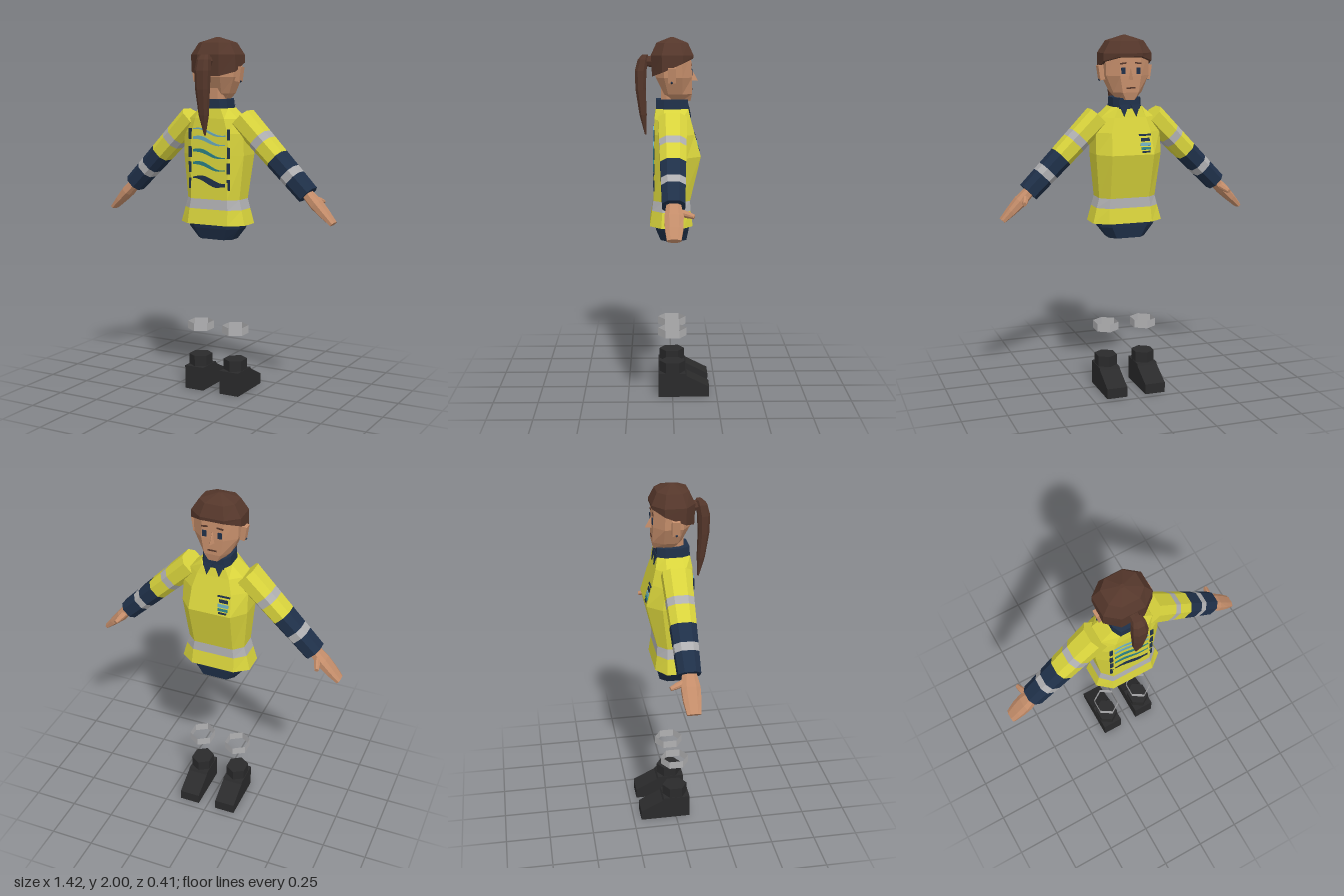
import * as THREE from 'three';

const mat = (name, color) => {
  const m = new THREE.MeshStandardMaterial({ color });
  m.name = name;
  return m;
};

// Octagonal cross-section: flat half width f, half width w, front zf, back zb
const octagon = (y, f, w, zf, zb) =>
  [[f, zb], [w, zb * 0.5], [w, zf * 0.5], [f, zf], [-f, zf], [-w, zf * 0.5], [-w, zb * 0.5], [-f, zb]]
    .map(([x, z]) => [x, y, z]);

// Faceted skin over a stack of rings, capped at both ends
function loft(rings) {
  const pos = [];
  const tri = (a, b, c) => pos.push(...a, ...b, ...c);
  const n = rings[0].length;
  for (let i = 0; i < rings.length - 1; i++) {
    for (let j = 0; j < n; j++) {
      const k = (j + 1) % n;
      const a = rings[i][j], b = rings[i][k], c = rings[i + 1][k], d = rings[i + 1][j];
      tri(a, b, c);
      tri(a, c, d);
    }
  }
  const lo = rings[0], hi = rings[rings.length - 1];
  for (let j = 1; j < n - 1; j++) {
    tri(lo[0], lo[j + 1], lo[j]);
    tri(hi[0], hi[j], hi[j + 1]);
  }
  const g = new THREE.BufferGeometry();
  g.setAttribute('position', new THREE.Float32BufferAttribute(pos, 3));
  g.computeVertexNormals();
  return g;
}

const stack = rows => loft(rows.map(r => octagon(...r)));

export function createModel() {
  const yellow = mat('safety yellow', 0xd9d43c);
  const navy = mat('navy', 0x1f3049);
  const silver = mat('reflective grey', 0xb0b0b2);
  const skin = mat('skin', 0xc48d6a);
  const hair = mat('brown hair', 0x55372b);
  const black = mat('boot black', 0x2a2a2b);
  const teal = mat('teal', 0x2b7f84);
  const sky = mat('light blue', 0x6aa9b9);
  silver.side = THREE.DoubleSide;

  const model = new THREE.Group();
  const add = (name, geo, material, parent = model) => {
    const m = new THREE.Mesh(geo, material);
    m.name = name;
    parent.add(m);
    return m;
  };
  const plate = (name, material, x, y, z, w, h, tilt = 0, roll = 0) => {
    const m = add(name, new THREE.BoxGeometry(w, h, 0.006), material);
    m.position.set(x, y, z);
    m.rotation.set(tilt, 0, roll);
    return m;
  };

  // Jacket body, reflective waistband and hem
  const hemTop = [1.06, 0.12, 0.178, -0.1, 0.112];
  const waist = [1.115, 0.113, 0.163, -0.097, 0.105];
  add('jacketHem', stack([[0.975, 0.125, 0.2, -0.112, 0.125], hemTop]), yellow);
  add('waistBand', stack([hemTop, waist]), silver);
  add('jacketBody', stack([
    waist,
    [1.36, 0.12, 0.188, -0.155, 0.1],
    [1.48, 0.112, 0.185, -0.122, 0.1],
    [1.56, 0.09, 0.15, -0.1, 0.098],
    [1.615, 0.065, 0.088, -0.088, 0.09],
  ]), yellow);
  add('hips', stack([
    [0.885, 0.07, 0.105, -0.078, 0.065],
    [0.95, 0.1, 0.155, -0.09, 0.09],
    [1.0, 0.11, 0.172, -0.095, 0.1],
  ]), navy);

  // Collar with two points at the front
  add('collar', stack([[1.605, 0.06, 0.082, -0.09, 0.09], [1.665, 0.055, 0.078, -0.086, 0.088]]), navy);
  for (const s of [-1, 1]) {
    const tip = new THREE.Shape([[0.005, 0.03], [0.06, 0.03], [0.035, -0.035]].map(p => new THREE.Vector2(s * p[0], p[1])));
    const m = add('collarPoint', new THREE.ExtrudeGeometry(tip, { depth: 0.006, bevelEnabled: false }), navy);
    m.position.set(0, 1.6, -0.098);
    m.rotation.x = 0.2;
  }

  // Neck, head and face
  add('neck', stack([[1.6, 0.03, 0.05, -0.05, 0.06], [1.74, 0.03, 0.05, -0.05, 0.06]]), skin);
  add('head', stack([
    [1.655, 0.025, 0.045, -0.1, 0.0],
    [1.695, 0.045, 0.082, -0.108, 0.045],
    [1.785, 0.06, 0.122, -0.108, 0.09],
    [1.92, 0.06, 0.125, -0.1, 0.1],
  ]), skin);
  add('nose', loft([
    [[0.016, 1.765, -0.1], [0, 1.765, -0.142], [-0.016, 1.765, -0.1]],
    [[0.006, 1.825, -0.1], [0, 1.825, -0.109], [-0.006, 1.825, -0.1]],
  ]), skin);
  plate('mouth', hair, 0, 1.72, -0.108, 0.05, 0.008);
  for (const s of [-1, 1]) {
    plate('eye', navy, s * 0.043, 1.812, -0.107, 0.022, 0.034);
    plate('eyebrow', hair, s * 0.043, 1.852, -0.105, 0.036, 0.008, 0, -s * 0.12);
    const ear = add('ear', new THREE.BoxGeometry(0.028, 0.08, 0.042), skin);
    ear.position.set(s * 0.135, 1.8, 0.002);
    ear.rotation.z = -s * 0.15;
    const stud = add('earring', new THREE.OctahedronGeometry(0.009), navy);
    stud.position.set(s * 0.142, 1.762, 0.004);
  }

  // Hair cap, its lower edge rising towards the forehead
  const hairEdge = octagon(0, 0.065, 0.138, -0.113, 0.11).map(([x, , z]) => [x, 1.838 - 0.43 * z, z]);
  add('hairCap', loft([
    hairEdge,
    octagon(1.905, 0.066, 0.137, -0.115, 0.115),
    octagon(1.97, 0.05, 0.097, -0.085, 0.085),
    octagon(2.0, 0.006, 0.01, -0.01, 0.01),
  ]), hair);

  // Ponytail: [y, centre z, half width, half depth]
  const tie = add('hairTie', new THREE.CylinderGeometry(0.026, 0.032, 0.06, 8).toNonIndexed(), hair);
  tie.geometry.computeVertexNormals();
  tie.rotation.x = Math.PI / 2;
  tie.position.set(0, 1.87, 0.13);
  add('ponytail', loft([
    [1.47, 0.147, 0.004, 0.004],
    [1.58, 0.16, 0.026, 0.02],
    [1.72, 0.173, 0.038, 0.028],
    [1.82, 0.172, 0.042, 0.032],
    [1.88, 0.16, 0.036, 0.028],
    [1.905, 0.148, 0.026, 0.016],
  ].map(([y, z, w, d]) => octagon(y, w * 0.5, w, -d, d).map(p => [p[0], p[1], p[2] + z]))), hair);

  // Arms: sleeve sections run along local y from the shoulder to the cuff
  const sleeveRing = t => {
    const w = 0.065 - 0.021 * t, d = 0.078 - 0.034 * t;
    return [t, w * 0.5, w, -d, d];
  };
  const sections = [
    ['upperSleeve', 0, 0.15, yellow], ['upperArmBand', 0.15, 0.195, silver],
    ['midSleeve', 0.195, 0.297, yellow], ['lowerSleeve', 0.297, 0.4, navy],
    ['forearmBand', 0.4, 0.445, silver], ['cuff', 0.445, 0.56, navy],
  ];
  for (const s of [-1, 1]) {
    const arm = new THREE.Group();
    arm.name = s > 0 ? 'leftArm' : 'rightArm';
    arm.position.set(s * 0.155, 1.56, 0);
    arm.rotation.z = -s * Math.PI * 0.75;
    model.add(arm);
    for (const [name, a, b, m] of sections) add(name, stack([sleeveRing(a), sleeveRing(b)]), m, arm);
    add('hand', stack([
      [0.55, 0.014, 0.026, -0.036, 0.036],
      [0.63, 0.015, 0.03, -0.05, 0.048],
      [0.7, 0.012, 0.023, -0.047, 0.045],
      [0.77, 0.007, 0.014, -0.036, 0.036],
    ]), skin, arm);
    const thumb = add('thumb', stack([
      [0, 0.009, 0.017, -0.017, 0.017], [0.05, 0.008, 0.015, -0.015, 0.015], [0.085, 0.006, 0.01, -0.01, 0.01],
    ]), skin, arm);
    thumb.position.set(0, 0.595, -0.025);
    thumb.rotation.x = -1.2;
  }

  // Wavy stripes across the back: [y, half thickness left, right, material]
  const waves = [
    [1.485, 0.003, 0.011, sky], [1.435, 0.012, 0.009, sky], [1.365, 0.012, 0.008, teal],
    [1.295, 0.012, 0.008, teal], [1.215, 0.006, 0.034, navy],
  ];
  for (const [y, left, right, m] of waves) {
    const top = [], bottom = [];
    for (let i = 0; i <= 10; i++) {
      const u = i / 10, x = -0.1 + 0.2 * u;
      const mid = y + 0.018 - 0.036 * u + 0.009 * Math.sin(u * Math.PI * 2);
      const h = (left + (right - left) * u) * (0.3 + 0.7 * Math.sin(Math.PI * Math.min(1, u + 0.12)));
      top.push(new THREE.Vector2(x, mid + h));
      bottom.unshift(new THREE.Vector2(x, mid - h));
    }
    const g = new THREE.ExtrudeGeometry(new THREE.Shape([...top, ...bottom]), { depth: 0.007, bevelEnabled: false });
    add('backStripe', g, m).position.z = 0.0985;
  }
  for (const s of [-1, 1]) {
    for (const y of [1.475, 1.375, 1.29, 1.2]) plate('backDash', navy, s * 0.12, y, 0.1, 0.018, 0.06);
  }

  // Plain chest patch on the sloping front panel
  const chest = [[1.465, 0.07, 0.01, navy], [1.44, 0.05, 0.018, navy], [1.415, 0.06, 0.018, sky],
    [1.393, 0.055, 0.014, teal], [1.375, 0.045, 0.01, navy]];
  for (const [y, w, h, m] of chest) {
    plate('chestPatch', m, -0.075, y, -0.155 + (y - 1.36) * 0.275 - 0.001, w, h, 0.268);
  }

  // Open shin bands and boots
  for (const s of [-1, 1]) {
    const band = add('shinBand', new THREE.CylinderGeometry(1, 1, 0.045, 6, 1, true).toNonIndexed(), silver);
    band.geometry.scale(0.073, 1, 0.08);
    band.geometry.computeVertexNormals();
    band.position.set(s * 0.112, 0.367, 0);

    const shaft = add('bootShaft', new THREE.CylinderGeometry(1, 1, 0.075, 6).toNonIndexed(), black);
    shaft.geometry.scale(0.065, 1, 0.072);
    shaft.geometry.computeVertexNormals();
    shaft.position.set(s * 0.113, 0.158, 0);

    // Side profile in (forward, up), turned to face -z
    const profile = new THREE.Shape([[-0.08, 0], [0.207, 0], [0.207, 0.058], [0.08, 0.122], [0.072, 0.135], [-0.08, 0.135]]
      .map(p => new THREE.Vector2(...p)));
    const g = new THREE.ExtrudeGeometry(profile, { depth: 0.118, bevelEnabled: false });
    g.translate(0, 0, -0.059).rotateY(Math.PI / 2);
    add('boot', g, black).position.x = s * 0.113;
  }
  return model;
}
